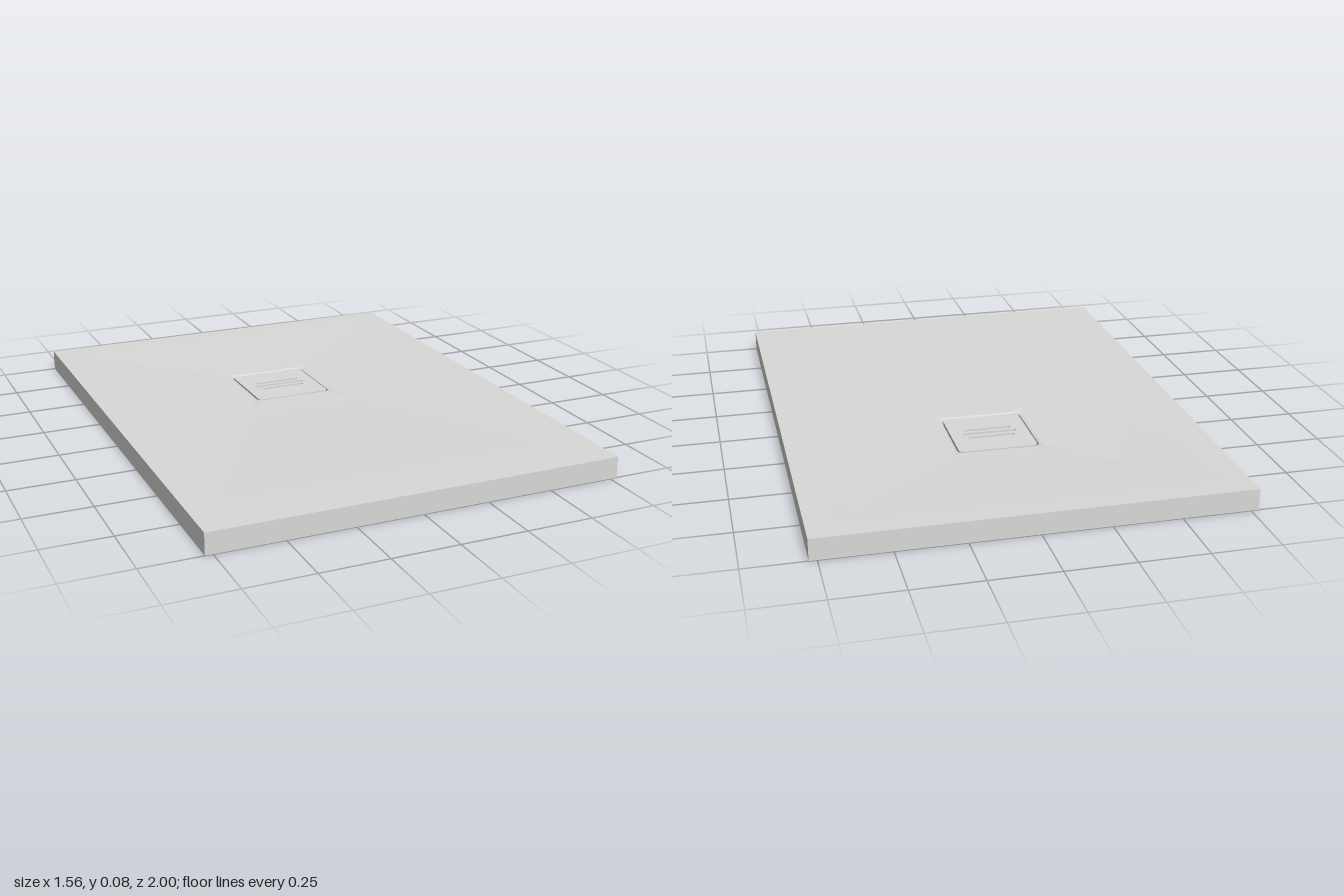
import * as THREE from 'three';
import { toCreasedNormals } from 'three/addons/utils/BufferGeometryUtils.js';

const HX = 0.778, HZ = 1, HEIGHT = 0.08;
const DRAIN_Z = -0.27, RIM_Y = 0.058;

// Rounded-rectangle ring of points at height y
function ring(hx, hz, r, cz, y, steps = 8) {
  const points = [];
  const corners = [[1, 1], [-1, 1], [-1, -1], [1, -1]];
  corners.forEach(([sx, sz], c) => {
    for (let i = 0; i <= steps; i++) {
      const a = (c + i / steps) * Math.PI / 2;
      points.push(new THREE.Vector3(
        sx * (hx - r) + r * Math.cos(a), y, cz + sz * (hz - r) + r * Math.sin(a)));
    }
  });
  return points;
}

// Rings running from one to another, with heights following an easing rule
function blend(from, to, count, ease) {
  const rings = [];
  for (let i = 1; i < count; i++) {
    const t = i / count;
    rings.push(from.map((p, j) => {
      const q = p.clone().lerp(to[j], t);
      q.y = THREE.MathUtils.lerp(p.y, to[j].y, ease(t));
      return q;
    }));
  }
  return rings;
}

// Skin a sequence of rings
function loft(rings) {
  const n = rings[0].length, index = [];
  for (let i = 0; i < rings.length - 1; i++) {
    for (let j = 0; j < n; j++) {
      const k = (j + 1) % n;
      const a = i * n + j, b = i * n + k, c = a + n, d = b + n;
      index.push(a, c, b, b, c, d);
    }
  }
  const geometry = new THREE.BufferGeometry().setFromPoints(rings.flat());
  geometry.setIndex(index);
  return toCreasedNormals(geometry, 0.35);
}

function roundedShape(Type, hx, hy, r, cy = 0) {
  const s = new Type();
  s.absarc(hx - r, cy + hy - r, r, 0, Math.PI / 2);
  s.absarc(-hx + r, cy + hy - r, r, Math.PI / 2, Math.PI);
  s.absarc(-hx + r, cy - hy + r, r, Math.PI, Math.PI * 1.5);
  s.absarc(hx - r, cy - hy + r, r, Math.PI * 1.5, Math.PI * 2);
  s.closePath();
  return s;
}

export function createModel() {
  const group = new THREE.Group();
  const stone = new THREE.MeshStandardMaterial({ color: 0xd9d9d7 });
  stone.name = 'stoneGrey';

  const square = (half, r, y) => ring(half, half, r, DRAIN_Z, y);

  // Tray: drain boss, coved hollow underside, rim, sloping top and drain well
  const bossTop = square(0.165, 0.04, 0.05);
  const ceilingEdge = ring(0.55, 0.82, 0.05, -0.035, 0.04);
  const hollowEdge = ring(0.67, 0.94, 0.08, -0.035, 0);
  const topEdge = ring(HX, HZ, 0, 0, HEIGHT);
  const wellEdge = square(0.166, 0.03, RIM_Y);
  const tray = new THREE.Mesh(loft([
    square(0.0002, 0.0001, 0.02),
    square(0.165, 0.04, 0.02),
    bossTop,
    ceilingEdge,
    ...blend(ceilingEdge, hollowEdge, 8, t => t * t),
    hollowEdge,
    ring(HX, HZ, 0, 0, 0),
    topEdge,
    ...blend(topEdge, wellEdge, 12, t => t * t * (3 - 2 * t)),
    wellEdge,
    square(0.156, 0.023, RIM_Y - 0.004),
    square(0.156, 0.023, 0.035),
    square(0.0002, 0.0001, 0.035),
  ]), stone);
  tray.name = 'tray';
  group.add(tray);

  // Drain cover with three slots
  const outline = roundedShape(THREE.Shape, 0.15, 0.15, 0.017);
  for (const [offset, half] of [[-0.034, 0.09], [0, 0.104], [0.034, 0.09]]) {
    outline.holes.push(roundedShape(THREE.Path, half, 0.008, 0.0079, offset));
  }
  const coverGeometry = new THREE.ExtrudeGeometry(outline, {
    depth: 0.02, bevelEnabled: false, curveSegments: 8,
  });
  coverGeometry.rotateX(-Math.PI / 2);
  const cover = new THREE.Mesh(coverGeometry, stone);
  cover.name = 'drainCover';
  cover.position.set(0, RIM_Y - 0.022, DRAIN_Z);
  group.add(cover);

  return group;
}
